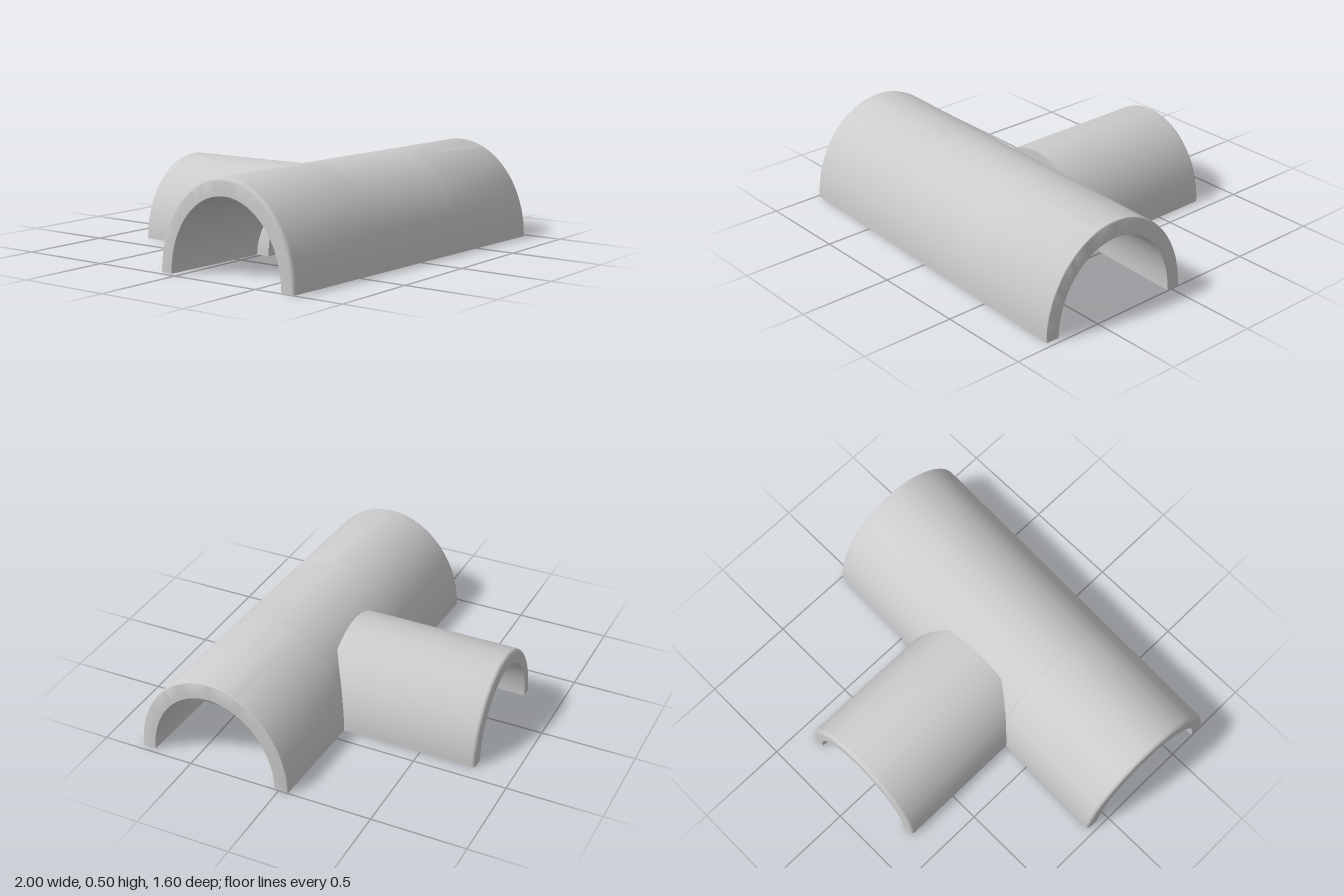
import * as THREE from 'three';
import { toCreasedNormals } from 'three/addons/utils/BufferGeometryUtils.js';

const material = new THREE.MeshStandardMaterial({ color: 0xcccccc });
const SEG = 40;

// Half pipe along x: each station gives x, how far the outer edge is rounded in,
// and the angle where the wall starts (0 = ground at the back, PI = ground in front).
function halfPipe(name, outer, inner, stations) {
  const pos = [], index = [], n = 2 * (SEG + 1);
  for (const { x, inset = 0, start = 0 } of stations) {
    for (let i = 0; i < n; i++) {
      const isOuter = i <= SEG;
      const k = isOuter ? i : n - 1 - i;
      const t = start + (Math.PI - start) * k / SEG;
      const [a, b] = isOuter ? [outer[0] - inset, outer[1] - inset] : inner;
      pos.push(x, Math.max(0, b * Math.sin(t)), -a * Math.cos(t));
    }
  }
  const quad = (a, b, c, d) => index.push(a, b, c, a, c, d);
  for (let j = 0; j < stations.length - 1; j++) {
    for (let i = 0; i < n; i++) {
      const k = (i + 1) % n;
      quad(j * n + i, j * n + k, (j + 1) * n + k, (j + 1) * n + i);
    }
  }
  // End faces
  const last = (stations.length - 1) * n;
  for (let i = 0; i < SEG; i++) {
    quad(n - 1 - i, n - 2 - i, i + 1, i);
    quad(last + i, last + i + 1, last + n - 2 - i, last + n - 1 - i);
  }
  const geo = new THREE.BufferGeometry();
  geo.setAttribute('position', new THREE.Float32BufferAttribute(pos, 3));
  geo.setIndex(index);
  const mesh = new THREE.Mesh(toCreasedNormals(geo, 0.6), material);
  mesh.name = name;
  return mesh;
}

// Stations of a rounded end at x; dir is +1 or -1, listed with x rising
function roundedEnd(x, dir, r) {
  const list = [];
  for (let i = 0; i <= 4; i++) {
    const t = (i / 4) * Math.PI / 2;
    list.push({ x: x - dir * r * (1 - Math.sin(t)), inset: r * (1 - Math.cos(t)) });
  }
  return dir > 0 ? list : list.reverse();
}

export function createModel() {
  const group = new THREE.Group();
  group.name = 'halfPipeTee';

  // Main pipe, with an arched opening in the back wall for the branch
  const opening = [];
  for (let i = 0; i <= 40; i++) {
    const t = Math.PI * (1 - i / 40);
    opening.push({
      x: 0.027 + 0.33 * Math.cos(t),
      start: Math.asin(0.37 * Math.sin(t) / 0.505),
    });
  }
  const main = halfPipe('mainPipe', [0.425, 0.505], [0.35, 0.415], [
    ...roundedEnd(-0.984, -1, 0.02),
    ...opening,
    ...roundedEnd(0.984, 1, 0.008),
  ]);
  main.position.z = 0.3375;
  main.rotation.y = -0.037;
  group.add(main);

  // Branch pipe running to the back
  const branch = halfPipe('branchPipe', [0.38, 0.43], [0.31, 0.355], [
    { x: -0.05 },
    ...roundedEnd(0.8, 1, 0.02),
  ]);
  branch.rotation.y = Math.PI / 2;
  branch.position.x = 0.04;
  group.add(branch);

  return group;
}
